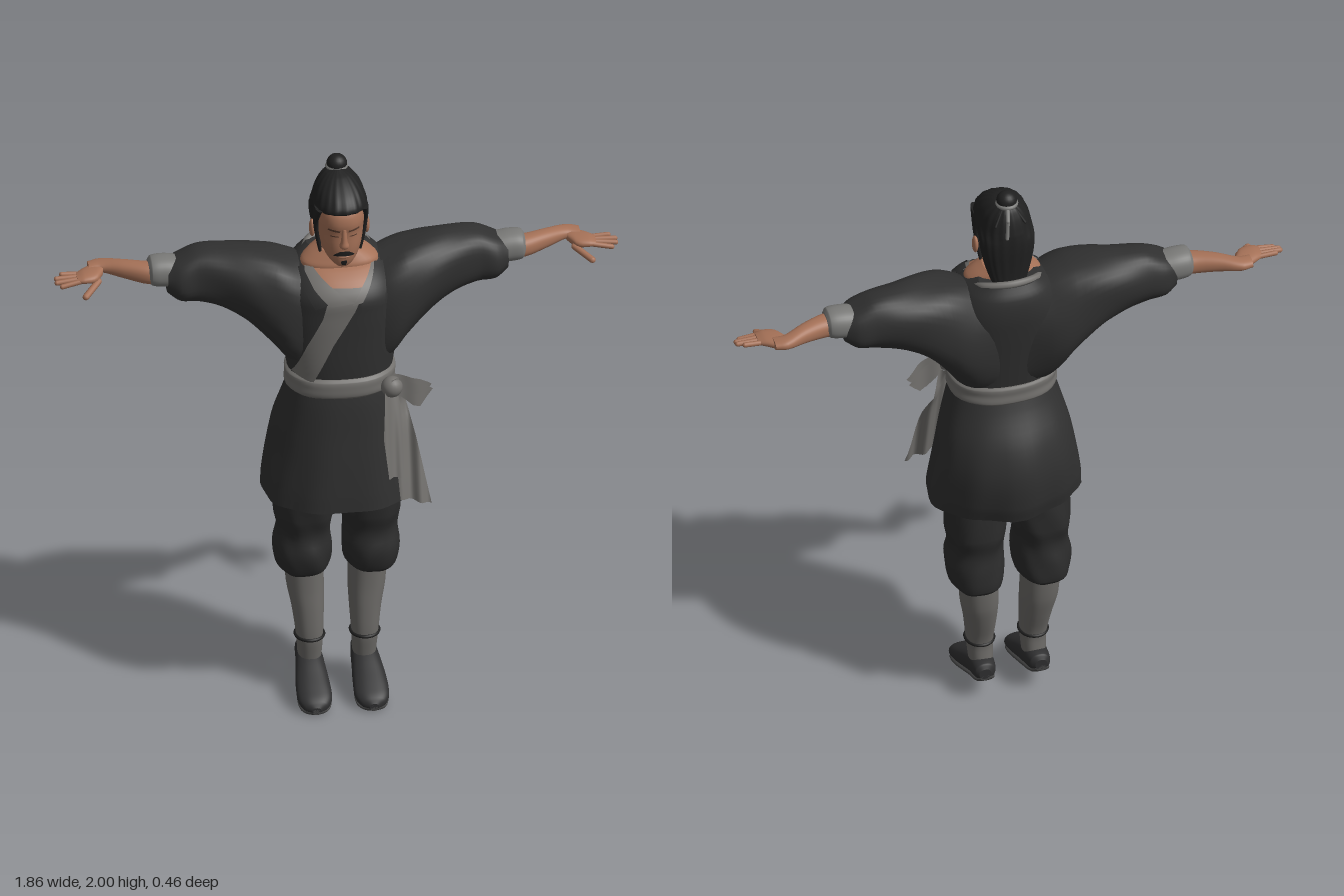
import * as THREE from 'three';

const mat = (name, color) => Object.assign(
  new THREE.MeshStandardMaterial({ color, side: THREE.DoubleSide }), { name });
const M = {
  cloth: mat('dark cloth', 0x303030), trousers: mat('trouser cloth', 0x2b2b2b),
  sash: mat('grey sash', 0x72706d), cuff: mat('grey cuff', 0x797977),
  legging: mat('grey legging', 0x6b6966), skin: mat('skin', 0xa57157),
  hair: mat('black hair', 0x202020), shoe: mat('shoe', 0x2f2f30), sole: mat('sole', 0x454545),
  brow: mat('brow shade', 0x5c3f31),
};
const N = 2.3; // roundness of every cross-section

// Smoothly interpolated cross-section [a0, a1, b0, b1] at position p
function section(rings, p) {
  let i = 0;
  while (i < rings.length - 2 && p > rings[i + 1][0]) i++;
  const A = rings[i], B = rings[i + 1], h = B[0] - A[0], t = (p - A[0]) / h;
  const slope = (k, c) => {
    const q = rings[Math.max(0, k - 1)], r = rings[Math.min(rings.length - 1, k + 1)];
    return (r[c] - q[c]) / (r[0] - q[0]);
  };
  return [1, 2, 3, 4].map(c => {
    const t2 = t * t, t3 = t2 * t;
    return (2 * t3 - 3 * t2 + 1) * A[c] + (t3 - 2 * t2 + t) * h * slope(i, c)
      + (3 * t2 - 2 * t3) * B[c] + (t3 - t2) * h * slope(i + 1, c);
  });
}

// Closed body along an axis; rings are [position, a0, a1, b0, b1], rising along the axis
function loft(axis, rings, ripple = () => 1, seg = 36, sub = 4) {
  const pos = [], idx = [], ps = [];
  rings.forEach((r, i) => {
    if (i) for (let k = 1; k <= sub; k++) ps.push(rings[i - 1][0] + (r[0] - rings[i - 1][0]) * k / sub);
    else ps.push(r[0]);
  });
  const put = (p, a, b) => pos.push(...(axis === 'y' ? [a, p, b] : axis === 'x' ? [p, a, b] : [a, b, p]));
  const ring = p => {
    const [a0, a1, b0, b1] = section(rings, p);
    for (let j = 0; j < seg; j++) {
      const t = j / seg * Math.PI * 2 * (axis === 'y' ? -1 : 1), m = ripple(t, p);
      const f = v => Math.sign(v) * Math.abs(v) ** (2 / N) * m / 2;
      put(p, (a0 + a1) / 2 + f(Math.cos(t)) * (a1 - a0), (b0 + b1) / 2 + f(Math.sin(t)) * (b1 - b0));
    }
    return [(a0 + a1) / 2, (b0 + b1) / 2];
  };
  ps.forEach(ring);
  for (let i = 0; i < ps.length - 1; i++) for (let j = 0; j < seg; j++) {
    const a = i * seg + j, b = i * seg + (j + 1) % seg;
    idx.push(a, b, b + seg, a, b + seg, a + seg);
  }
  for (const end of [0, 1]) { // end caps
    const base = pos.length / 3, p = ps[end ? ps.length - 1 : 0];
    put(p, ...ring(p));
    for (let j = 0; j < seg; j++) {
      const a = base + j, b = base + (j + 1) % seg;
      idx.push(base + seg, ...(end ? [a, b] : [b, a]));
    }
  }
  return build(pos, idx);
}

function build(pos, idx) {
  const g = new THREE.BufferGeometry();
  g.setAttribute('position', new THREE.Float32BufferAttribute(pos, 3));
  g.setIndex(idx);
  g.computeVertexNormals();
  return g;
}

// Front surface of a vertical loft
function front(rings, x, y) {
  const [x0, x1, z0, z1] = section(rings, y);
  const k = Math.min(0.97, Math.abs(x - (x0 + x1) / 2) / ((x1 - x0) / 2));
  return (z0 + z1) / 2 + (z1 - z0) / 2 * (1 - k ** N) ** (1 / N);
}

// Cloth strip; rows [xLeft, yLeft, xRight, yRight] run downwards, depth comes from zOf(x, y)
function ribbon(rows, zOf, sub = 6, across = 10) {
  const pos = [], idx = [], n = (rows.length - 1) * sub, w = across + 1;
  for (let i = 0; i <= n; i++) {
    const k = Math.min(rows.length - 2, Math.floor(i / sub)), t = i / sub - k;
    const r = rows[k].map((v, c) => v + (rows[k + 1][c] - v) * t);
    for (let j = 0; j <= across; j++) {
      const s = j / across, x = r[0] + (r[2] - r[0]) * s, y = r[1] + (r[3] - r[1]) * s;
      pos.push(x, y, zOf(x, y));
      if (i < n && j < across) {
        const a = i * w + j;
        idx.push(a, a + w, a + 1, a + 1, a + w, a + w + 1);
      }
    }
  }
  return build(pos, idx);
}

// Rounded rod between two points
function rod(p, q, r) {
  const a = new THREE.Vector3(...p), b = new THREE.Vector3(...q), d = b.clone().sub(a);
  const g = new THREE.CapsuleGeometry(r, d.length(), 4, 10);
  g.applyQuaternion(new THREE.Quaternion().setFromUnitVectors(new THREE.Vector3(0, 1, 0), d.normalize()));
  return g.translate(...a.add(b).multiplyScalar(0.5).toArray());
}
const ball = (x, y, z, rx, ry, rz) => new THREE.SphereGeometry(1, 20, 14).scale(rx, ry, rz).translate(x, y, z);

function mirrored(geo) {
  const g = geo.clone().scale(-1, 1, 1), ix = g.index.array;
  for (let i = 0; i < ix.length; i += 3) [ix[i], ix[i + 1]] = [ix[i + 1], ix[i]];
  return g;
}

export function createModel() {
  const root = new THREE.Group();
  root.name = 'robedMan';
  const add = (name, geo, m) => {
    const mesh = new THREE.Mesh(geo, m);
    mesh.name = name;
    root.add(mesh);
  };
  const pair = (name, geo, m) => { add(name + 'Left', geo, m); add(name + 'Right', mirrored(geo), m); };
  const fold = (amp, n, twist) => (t, p) => 1 + amp * Math.sin(n * t + twist * p);

  // Jacket with wide sleeves
  const torso = [[1.2, -.165, .165, -.105, .15], [1.3, -.18, .18, -.12, .157], [1.4, -.195, .195, -.135, .16],
    [1.5, -.2, .2, -.15, .163], [1.57, -.187, .187, -.157, .16], [1.63, -.15, .15, -.15, .105], [1.67, -.1, .1, -.125, .0]];
  add('jacketBody', loft('y', torso), M.cloth);
  pair('sleeve', loft('x', [[.04, 1.22, 1.62, -.13, .11], [.12, 1.24, 1.64, -.155, .13], [.17, 1.275, 1.658, -.163, .135],
    [.22, 1.34, 1.672, -.162, .125], [.3, 1.425, 1.682, -.157, .095], [.38, 1.472, 1.684, -.148, .058],
    [.46, 1.49, 1.68, -.135, .033], [.52, 1.5, 1.655, -.13, .033], [.56, 1.53, 1.635, -.11, .01]], fold(.02, 5, 22)), M.cloth);
  pair('sleeveCuff', loft('x', [[.53, 1.55, 1.65, -.108, .0], [.57, 1.55, 1.655, -.11, .0], [.61, 1.557, 1.652, -.105, -.003],
    [.62, 1.57, 1.64, -.095, -.015]]), M.cuff);

  // Skirt with a narrow bulge behind, belt and tied sash
  const skirt = [[.78, -.252, .255, -.215, .2], [.84, -.247, .247, -.23, .197], [.95, -.23, .23, -.232, .187],
    [1.05, -.213, .213, -.2, .176], [1.15, -.187, .187, -.14, .166], [1.22, -.168, .168, -.105, .155]];
  add('skirt', loft('y', skirt, (t, p) => 1 + (1.22 - p) * (.04 * Math.sin(9 * t + 4 * p)
    - .3 * Math.max(0, -Math.sin(t)) * Math.abs(Math.sin(2 * t))), 54), M.cloth);
  add('belt', loft('y', [[1.19, -.172, .172, -.118, .16], [1.2, -.182, .182, -.124, .168], [1.225, -.18, .18, -.122, .17],
    [1.25, -.182, .182, -.124, .168], [1.26, -.172, .172, -.118, .158]], fold(.006, 7, 30)), M.sash);
  add('beltKnot', ball(.155, 1.215, .145, .036, .036, .035), M.sash);
  const hang = (x, y) => front(skirt, Math.min(x, .19), y) + .025 + (1.2 - y) * .07 + .01 * Math.sin(x * 110);
  add('sashTailInner', ribbon([[.13, 1.21, .17, 1.21], [.12, 1.05, .19, 1.05], [.135, .91, .205, .89]],
    (x, y) => hang(x, y) + .012, 6, 16), M.sash);
  add('sashTailOuter', ribbon([[.14, 1.21, .19, 1.21], [.16, 1.02, .235, 1.02], [.175, .82, .28, .79]], hang, 6, 16), M.sash);
  const loopRows = [[.15, 1.25, .17, 1.25], [.15, 1.215, .25, 1.215], [.17, 1.19, .295, 1.18], [.225, 1.14, .25, 1.13]];
  [0, .03].forEach((d, i) => add('sashLoop' + (i + 1),
    ribbon(loopRows, x => .165 - d - (x - .15) * .3 + .006 * Math.sin(x * 60)), M.sash));

  // Chest opening, lapels and diagonal band
  const chest = off => (x, y) => front(torso, x, y) + off;
  add('shoulderSkin', loft('y', [[1.6, -.125, .125, -.05, .08], [1.645, -.128, .128, -.06, .085], [1.668, -.105, .105, -.07, .078],
    [1.69, -.07, .07, -.075, .07]]), M.skin);
  add('chestSkin', ribbon([[-.09, 1.66, .09, 1.66], [-.1, 1.635, .1, 1.635], [-.02, 1.575, .05, 1.575]], chest(.008)), M.skin);
  add('diagonalBand', ribbon([[-.05, 1.605, .06, 1.6], [-.075, 1.5, .03, 1.525], [-.125, 1.39, -.04, 1.4],
    [-.168, 1.27, -.105, 1.25]], chest(.012)), M.sash);
  add('innerCollarRight', ribbon([[-.12, 1.642, -.095, 1.645], [-.125, 1.61, -.055, 1.615], [-.05, 1.55, .03, 1.56]], chest(.016)), M.sash);
  add('innerCollarLeft', ribbon([[.1, 1.645, .12, 1.64], [.055, 1.6, .105, 1.61], [.02, 1.55, .07, 1.56]], chest(.014)), M.sash);
  add('lapelLeft', ribbon([[.11, 1.645, .14, 1.635], [.085, 1.605, .14, 1.6], [.05, 1.555, .13, 1.54], [.05, 1.53, .07, 1.525]], chest(.022)), M.cloth);
  add('lapelRight', ribbon([[-.14, 1.635, -.125, 1.64], [-.135, 1.6, -.1, 1.6], [-.1, 1.54, -.06, 1.56]], chest(.022)), M.cloth);
  const collar = [[-.11, 1.645, -.04], [-.085, 1.665, -.085], [0, 1.675, -.112], [.085, 1.665, -.085], [.11, 1.645, -.04]];
  add('backCollar', new THREE.TubeGeometry(new THREE.CatmullRomCurve3(collar.map(p => new THREE.Vector3(...p))), 40, .013, 8), M.sash);

  // Forearms and hands
  pair('forearm', loft('x', [[.55, 1.56, 1.63, -.095, -.012], [.62, 1.56, 1.632, -.095, -.015], [.7, 1.572, 1.63, -.118, -.05],
    [.77, 1.583, 1.62, -.145, -.085], [.81, 1.586, 1.614, -.138, -.08]]), M.skin);
  pair('palm', loft('x', [[.765, 1.582, 1.61, -.13, -.075], [.79, 1.575, 1.612, -.13, -.035], [.83, 1.578, 1.61, -.105, -.025],
    [.855, 1.582, 1.602, -.088, -.03]]), M.skin);
  [.915, .93, .93, .91].forEach((x, i) => pair('finger' + (i + 1),
    rod([.84, 1.592, -.036 - .016 * i], [x - .009, 1.58 + .005 * i, -.03 - .018 * i], .0085), M.skin));
  pair('thumb', rod([.785, 1.582, -.045], [.835, 1.562, .015], .011), M.skin);

  // Trousers, leggings and shoes
  pair('trouserLeg', loft('y', [[.455, .045, .185, -.155, .04], [.475, .025, .2, -.172, .062], [.54, .018, .208, -.168, .075],
    [.61, .022, .198, -.155, .06], [.68, .01, .208, -.168, .078], [.85, -.01, .2, -.15, .095]], fold(.02, 6, 30)), M.trousers);
  pair('legging', loft('y', [[.08, .055, .125, -.1, .0], [.14, .05, .13, -.09, .01], [.2, .047, .135, -.086, .018],
    [.3, .042, .148, -.118, .014], [.38, .04, .163, -.14, .008], [.5, .045, .17, -.15, .005]]), M.legging);
  pair('ankleTie', new THREE.TorusGeometry(.046, .006, 8, 28).rotateX(Math.PI / 2).scale(1, 1, 1.15).translate(.091, .2, -.034), M.hair);
  const shoe = [[-.122, .075, .115, .088, .125], [-.11, .058, .128, .078, .142], [-.05, .047, .135, .06, .143],
    [0, .043, .142, .043, .126], [.06, .038, .15, .024, .096], [.12, .038, .15, .008, .064], [.15, .055, .135, .004, .045],
    [.163, .08, .11, .008, .028]];
  pair('shoe', loft('z', shoe), M.shoe);
  pair('sole', loft('z', shoe.map(([z, a, b, y]) => [z, a + .003, b - .003, y - .006, y + .014])), M.sole);

  // Neck and head
  add('neck', loft('y', [[1.6, -.08, .08, -.09, .07], [1.65, -.068, .068, -.085, .068], [1.72, -.058, .058, -.08, .065]]), M.skin);
  const head = [[1.662, -.022, .022, .05, .108], [1.675, -.038, .038, .01, .118], [1.7, -.056, .056, -.03, .125],
    [1.74, -.069, .069, -.06, .13], [1.79, -.076, .076, -.08, .13], [1.83, -.079, .079, -.085, .136],
    [1.87, -.073, .073, -.08, .124], [1.92, -.05, .05, -.06, .07]];
  const face = off => (x, y) => front(head, x, y) + off;
  add('head', loft('y', head), M.skin);
  add('nose', loft('y', [[1.742, -.01, .01, .11, .138], [1.752, -.016, .016, .11, .149], [1.77, -.011, .011, .11, .147],
    [1.815, -.008, .008, .11, .137]], undefined, 16), M.skin);
  add('lips', ball(0, 1.707, .122, .02, .006, .008), M.skin);
  pair('ear', ball(.09, 1.765, .018, .01, .032, .018), M.skin);
  pair('eyebrow', ribbon([[.014, 1.812, .05, 1.817], [.014, 1.805, .054, 1.81]], face(.004)), M.brow);
  pair('eye', ribbon([[.02, 1.79, .043, 1.79], [.017, 1.786, .046, 1.786]], face(.004)), M.brow);
  add('moustache', ribbon([[-.014, 1.733, .014, 1.733], [-.03, 1.722, .03, 1.722], [-.036, 1.714, .036, 1.714]], face(.006)), M.hair);
  add('goatee', ribbon([[-.009, 1.695, .009, 1.695], [-.01, 1.685, .01, 1.685], [-.006, 1.675, .006, 1.675]], face(.005)), M.hair);

  // Hair drawn back into a topknot
  add('hair', loft('y', [[1.645, -.05, .05, -.1, -.05], [1.69, -.066, .066, -.1, -.025], [1.74, -.08, .08, -.103, -.005],
    [1.79, -.089, .089, -.107, .01], [1.83, -.091, .091, -.108, .035], [1.858, -.09, .09, -.106, .115],
    [1.872, -.088, .088, -.103, .134], [1.9, -.08, .08, -.095, .118], [1.925, -.067, .067, -.085, .087], [1.95, -.042, .042, -.07, .04],
    [1.962, -.015, .015, -.05, .0]], fold(.014, 18, 0), 90), M.hair);
  pair('sideLock', loft('y', [[1.68, .06, .07, .03, .042], [1.74, .066, .082, .03, .05], [1.8, .07, .09, .025, .058],
    [1.85, .065, .09, .02, .09], [1.87, .06, .088, .02, .105]], undefined, 16), M.hair);
  add('topknot', ball(0, 1.968, -.04, .034, .032, .034), M.hair);
  add('topknotTie', new THREE.TorusGeometry(.03, .008, 8, 24).rotateX(Math.PI / 2).translate(0, 1.958, -.042), M.cuff);
  add('tieRibbonUpper', rod([.005, 1.955, -.07], [.012, 1.925, -.1], .007), M.cuff);
  add('tieRibbonLower', rod([.012, 1.925, -.1], [.018, 1.865, -.112], .006), M.cuff);
  pair('looseStrand', rod([.02, 1.95, -.06], [.05, 1.9, -.085], .005), M.hair);
  return root;
}
